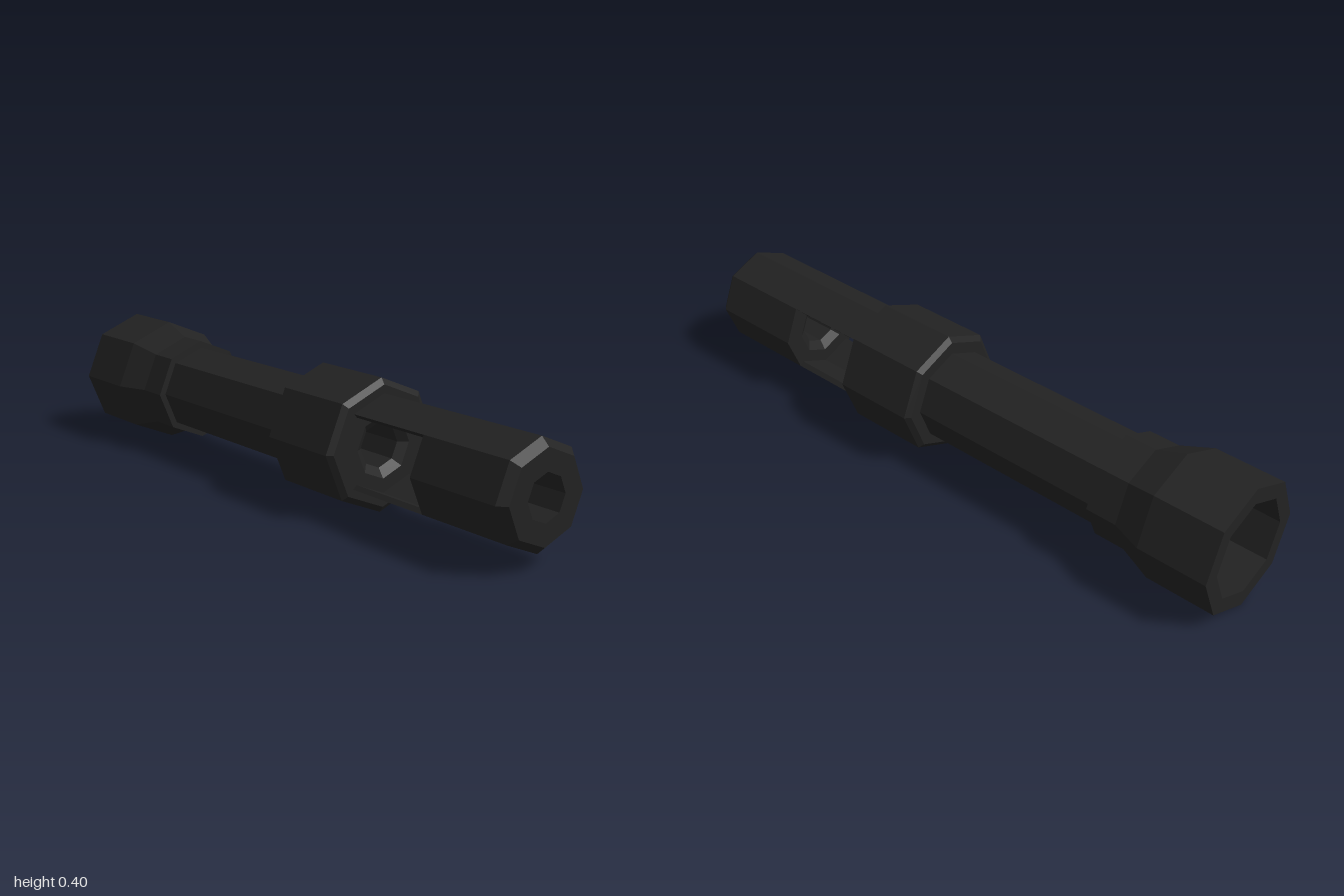
import * as THREE from 'three';

const SIDES = 8;
const AXIS_Y = 0.2;

export function createModel() {
  const group = new THREE.Group();
  const black = new THREE.MeshStandardMaterial({ color: 0x222222, flatShading: true });
  black.name = 'matte black';

  const add = (name, geometry) => {
    const mesh = new THREE.Mesh(geometry, black);
    mesh.name = name;
    mesh.position.y = AXIS_Y;
    group.add(mesh);
    return mesh;
  };

  // Octagonal turned part along x; profile entries are [x, radius]
  const turned = (name, profile) => {
    const points = profile.map(([x, r]) => new THREE.Vector2(r, x));
    const geometry = new THREE.LatheGeometry(points, SIDES).toNonIndexed();
    geometry.rotateZ(-Math.PI / 2);
    geometry.computeVertexNormals();
    return add(name, geometry);
  };

  // Flared rear end with an open socket
  turned('flaredSocket', [
    [-0.7, 0], [-0.7, 0.15], [-1, 0.15], [-1, 0.2], [-0.78, 0.2],
    [-0.68, 0.163], [-0.58, 0.163], [-0.58, 0.13],
  ]);

  // Plain main tube
  turned('mainTube', [[-0.65, 0.142], [0.1, 0.142]]);

  // Chamfered collar with a blind bore in its front face
  turned('collar', [
    [0.075, 0.13], [0.075, 0.18], [0.088, 0.197], [0.357, 0.197], [0.37, 0.179],
    [0.37, 0.095], [0.35, 0.067], [0.12, 0.067], [0.12, 0],
  ]);

  // Muzzle block with a through bore
  turned('muzzle', [
    [0.68, 0.067], [0.66, 0.095], [0.66, 0.154], [0.975, 0.154], [1, 0.131],
    [1, 0.067], [0.68, 0.067],
  ]);

  // Two bent bars joining collar and muzzle, leaving side windows
  const at = (r, deg) => new THREE.Vector2(
    r * Math.cos(THREE.MathUtils.degToRad(deg)),
    r * Math.sin(THREE.MathUtils.degToRad(deg)),
  );
  const section = new THREE.Shape([
    at(0.154, 45), at(0.154, 90), at(0.154, 135),
    at(0.137, 135), at(0.137, 90), at(0.137, 45),
  ]);
  const bar = new THREE.ExtrudeGeometry(section, { depth: 0.3, bevelEnabled: false });
  bar.rotateY(Math.PI / 2);
  bar.translate(0.36, 0, 0);
  add('upperBar', bar);
  add('lowerBar', bar).rotation.x = Math.PI;

  return group;
}
